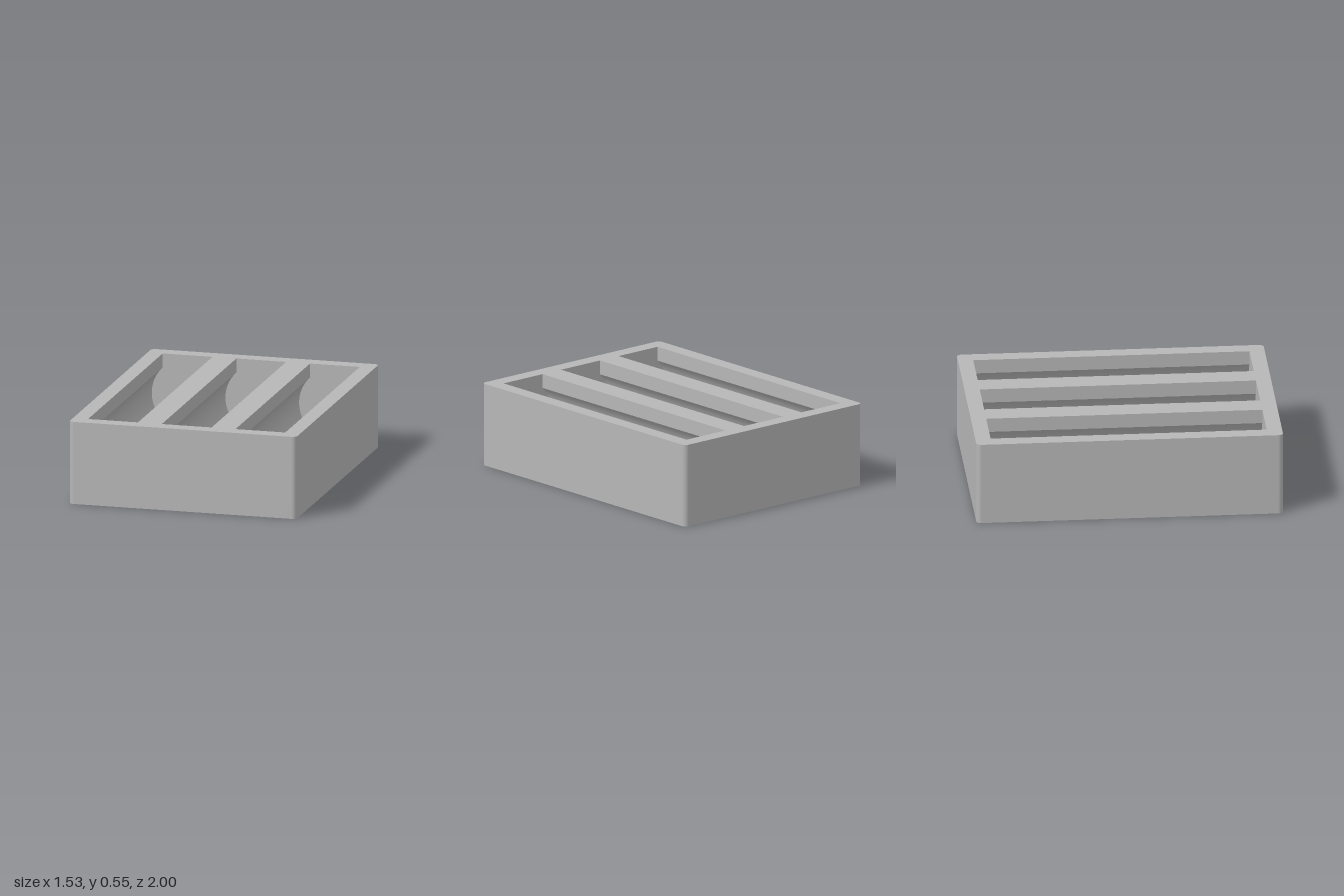
import * as THREE from 'three';

const W = 1.533, H = 0.55, L = 2, CORNER = 0.033;   // outer block
const SPACING = 0.497, NECK = 0.168, CAV = 0.9;     // bays: pitch, half neck width, half length
const R = 0.2417, CY = 0.283;                       // round trough radius and axis height
const SLOT = 0.103, SLOT_L = 0.515;                 // half size of the floor slots

const grey = new THREE.MeshStandardMaterial({ color: 0xb6b6b6 });
grey.name = 'matte grey';

// Sweeps an open profile along z; a profile running anticlockwise faces inward
function strip(pts, z0, z1) {
  const n = pts.length, g = new THREE.PlaneGeometry(1, 1, n - 1, 1);
  const p = g.attributes.position;
  pts.forEach((v, i) => {
    p.setXYZ(i, v.x, v.y, z0);
    p.setXYZ(i + n, v.x, v.y, z1);
  });
  g.computeVertexNormals();
  return g;
}

// Points on the trough circle between two x/y angles
function arc(a0, a1, n) {
  return Array.from({ length: n + 1 }, (_, i) => {
    const a = a0 + (a1 - a0) * i / n;
    return new THREE.Vector2(R * Math.cos(a), CY + R * Math.sin(a));
  });
}

// Arc surface with exact normals pointing at the axis
function arcStrip(pts, z0, z1) {
  const g = strip(pts, z0, z1), p = g.attributes.position;
  for (let i = 0; i < p.count; i++) {
    g.attributes.normal.setXYZ(i, -p.getX(i) / R, (CY - p.getY(i)) / R, 0);
  }
  return g;
}

function roundedRect() {
  const x = W / 2, y = L / 2, r = CORNER, s = new THREE.Shape();
  s.moveTo(0, -y);
  s.lineTo(x - r, -y).absarc(x - r, -y + r, r, -Math.PI / 2, 0);
  s.lineTo(x, y - r).absarc(x - r, y - r, r, 0, Math.PI / 2);
  s.lineTo(-x + r, y).absarc(-x + r, y - r, r, Math.PI / 2, Math.PI);
  s.lineTo(-x, -y + r).absarc(-x + r, -y + r, r, Math.PI, Math.PI * 1.5);
  s.lineTo(0, -y);
  return s;
}

// Rounded plate pierced by one rectangle per bay
function plate(hw, hl) {
  const s = roundedRect();
  for (const k of [-1, 0, 1]) {
    const c = k * SPACING;
    s.holes.push(new THREE.Path([[c - hw, -hl], [c - hw, hl], [c + hw, hl], [c + hw, -hl]]
      .map(([x, y]) => new THREE.Vector2(x, y))));
  }
  return new THREE.ShapeGeometry(s, 8);
}

export function createModel() {
  const model = new THREE.Group();
  model.name = 'threeBayHolder';
  const add = (parent, name, geo) => {
    const m = new THREE.Mesh(geo, grey);
    m.name = name;
    parent.add(m);
  };

  // Outer block
  add(model, 'outerWall', strip(roundedRect().getPoints(8).reverse(), 0, H).rotateX(-Math.PI / 2));
  add(model, 'topRim', plate(NECK, CAV).rotateX(-Math.PI / 2).translate(0, H, 0));
  add(model, 'underside', plate(SLOT, SLOT_L).rotateX(Math.PI / 2));

  // Trough profile pieces, from the left lip round to the right lip
  const lip = Math.acos(NECK / R), cut = Math.acos(SLOT / R);
  const left = arc(Math.PI - lip, Math.PI + cut, 28);
  const floor = arc(Math.PI + cut, 2 * Math.PI - cut, 12);
  const right = arc(-cut, lip, 28);
  const v = (x, y) => new THREE.Vector2(x, y);
  const lipY = left[0].y, floorY = floor[0].y;
  const endShape = new THREE.Shape([v(-NECK, H), ...left, ...floor.slice(1), ...right.slice(1), v(NECK, H)]);
  const slotEnd = new THREE.Shape([v(-SLOT, 0), v(SLOT, 0), ...floor.slice().reverse()]);

  for (const k of [-1, 0, 1]) {
    const bay = new THREE.Group();
    bay.name = 'bay' + (k + 2);
    bay.position.x = k * SPACING;
    model.add(bay);

    // Upright lips and trough sides
    add(bay, 'lipLeft', strip([v(-NECK, H), v(-NECK, lipY)], -CAV, CAV));
    add(bay, 'lipRight', strip([v(NECK, lipY), v(NECK, H)], -CAV, CAV));
    add(bay, 'troughLeft', arcStrip(left, -CAV, CAV));
    add(bay, 'troughRight', arcStrip(right, -CAV, CAV));

    // Floor at both ends of the slot
    add(bay, 'floorBack', arcStrip(floor, -CAV, -SLOT_L));
    add(bay, 'floorFront', arcStrip(floor, SLOT_L, CAV));

    // Slot sides
    add(bay, 'slotSideLeft', strip([v(-SLOT, floorY), v(-SLOT, 0)], -SLOT_L, SLOT_L));
    add(bay, 'slotSideRight', strip([v(SLOT, 0), v(SLOT, floorY)], -SLOT_L, SLOT_L));

    // End faces of trough and slot
    for (const [side, turn] of [['Back', 0], ['Front', Math.PI]]) {
      add(bay, 'troughEnd' + side, new THREE.ShapeGeometry(endShape).translate(0, 0, -CAV).rotateY(turn));
      add(bay, 'slotEnd' + side, new THREE.ShapeGeometry(slotEnd).translate(0, 0, -SLOT_L).rotateY(turn));
    }
  }
  return model;
}
